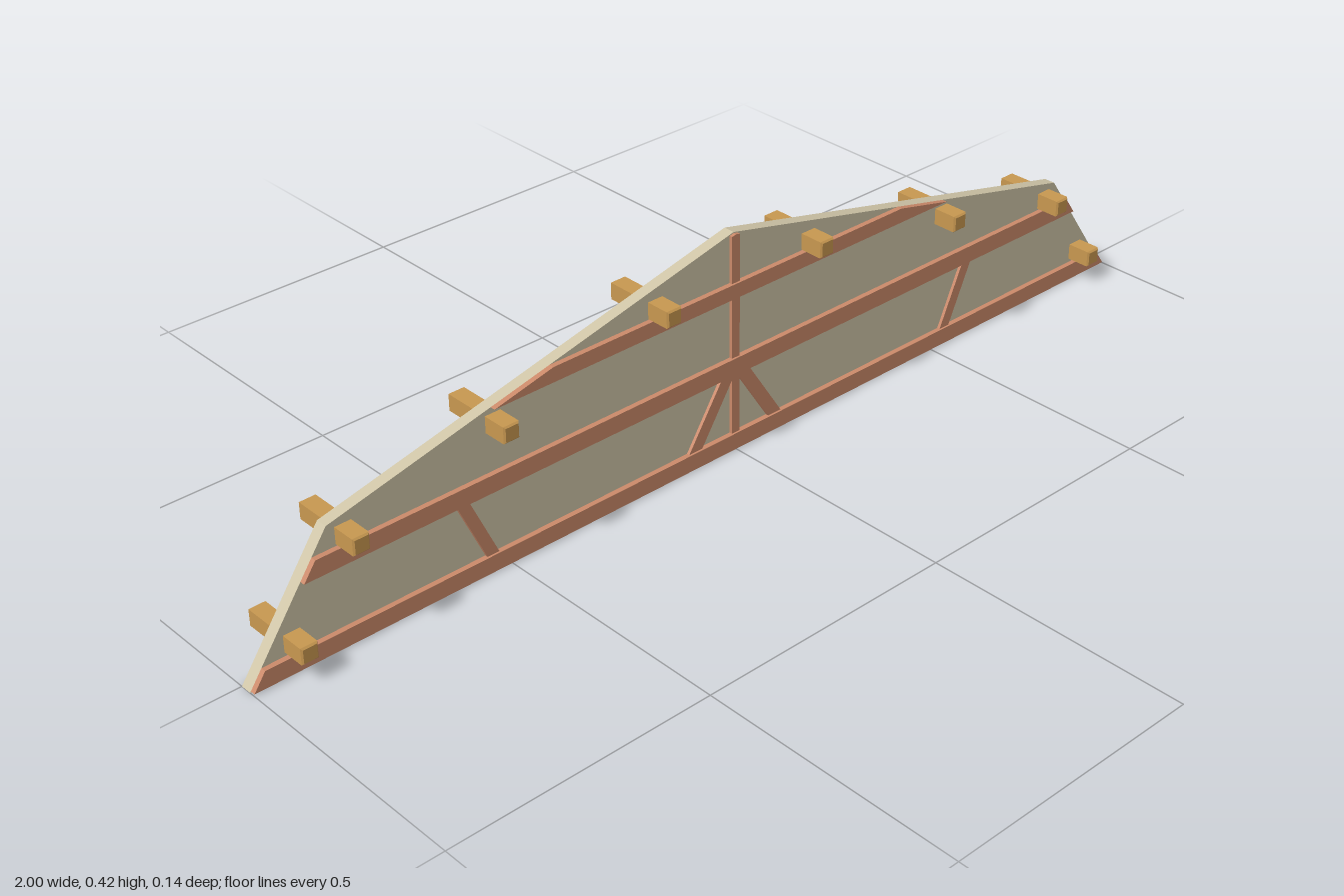
import * as THREE from 'three';

const mat = (color, extra = {}) => new THREE.MeshStandardMaterial({ color, flatShading: true, ...extra });
const panelMat = mat(0xd0c6a8);
const timberMat = mat(0xcc8a6a);
const purlinMat = mat(0xc89850, { side: THREE.DoubleSide });

const PANEL_FRONT = 0.022;
const EAVE = [0.84, 0.228];
const RIDGE = 0.423;

// Half-width of the gable at height y
const halfWidth = (y) => y < EAVE[1]
  ? 1 - (1 - EAVE[0]) * y / EAVE[1]
  : EAVE[0] * (RIDGE - y) / (RIDGE - EAVE[1]);

// Flat board: outline in x/y, extruded from z0 to z1
function board(name, points, z0, z1, material) {
  const shape = new THREE.Shape(points.map(([x, y]) => new THREE.Vector2(x, y)));
  const geo = new THREE.ExtrudeGeometry(shape, { depth: z1 - z0, bevelEnabled: false });
  geo.translate(0, 0, z0);
  const mesh = new THREE.Mesh(geo, material);
  mesh.name = name;
  return mesh;
}

export function createModel() {
  const model = new THREE.Group();
  model.name = 'gableTruss';

  // Gable panel
  model.add(board('gablePanel',
    [[-1, 0], [1, 0], EAVE, [0, RIDGE], [-EAVE[0], EAVE[1]]], 0, PANEL_FRONT, panelMat));

  // Horizontal beams, ends cut to the roof slope
  for (const [name, y0, y1] of [
    ['bottomBeam', 0.002, 0.034], ['tieBeam', 0.152, 0.185], ['collarBeam', 0.302, 0.33],
  ]) {
    const a = halfWidth(y0), b = halfWidth(y1);
    model.add(board(name, [[-a, y0], [a, y0], [b, y1], [-b, y1]], PANEL_FRONT, 0.032, timberMat));
  }

  // King post with a pointed top
  const w = 0.009;
  model.add(board('kingPost',
    [[-w, 0.034], [w, 0.034], [w, 0.419], [0, 0.421], [-w, 0.419]], PANEL_FRONT, 0.028, timberMat));

  // Mirrored diagonal struts
  for (const s of [-1, 1]) {
    for (const [name, x0, x1, width] of [
      ['innerStrut', 0.094, 0.017, 0.03], ['outerStrut', 0.536, 0.59, 0.024],
    ]) {
      const h = width / 2;
      const pts = [[x0 - h, 0.034], [x0 + h, 0.034], [x1 + h, 0.153], [x1 - h, 0.153]];
      model.add(board(name, pts.map(([x, y]) => [s * x, y]), PANEL_FRONT, 0.028, timberMat));
    }
  }

  // Square purlin ends: chamfered at the front, open at the back
  const r = 0.0155 * Math.SQRT2;
  const profile = [[r, -0.07], [r, 0.067], [r - 0.004, 0.07], [0, 0.07]];
  const purlinGeo = new THREE.LatheGeometry(
    profile.map(([x, y]) => new THREE.Vector2(x, y)), 4, Math.PI / 4);
  purlinGeo.rotateX(Math.PI / 2);
  for (const s of [-1, 1]) {
    for (const [x, y] of [[0.918, 0.057], [0.81, 0.204], [0.518, 0.275], [0.176, 0.347]]) {
      const purlin = new THREE.Mesh(purlinGeo, purlinMat);
      purlin.name = 'purlin';
      purlin.position.set(s * x, y, 0);
      model.add(purlin);
    }
  }

  return model;
}
